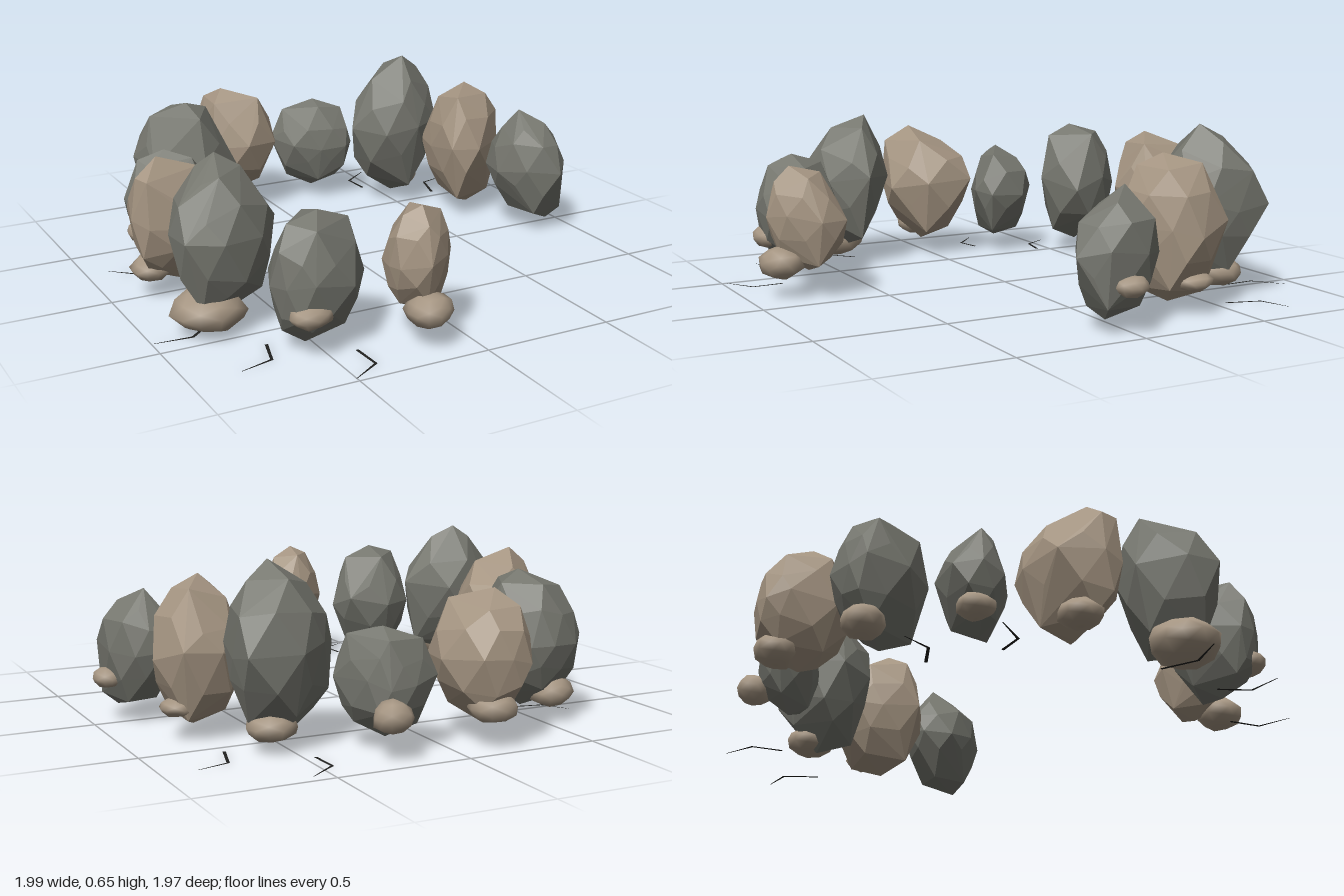
import * as THREE from 'three';
import { ConvexGeometry } from 'three/addons/geometries/ConvexGeometry.js';
import { mergeVertices } from 'three/addons/utils/BufferGeometryUtils.js';

// Small seeded generator for the irregular facets
function seeded(seed) {
  let s = seed * 7919 + 17;
  return () => (s = (s * 16807) % 2147483647) / 2147483647;
}

// Boulder: the ground outline shrinks along a line from the base point to the apex;
// top is the breadth of the crown
function boulderGeometry(apex, base, top, outline, seed) {
  const rnd = seeded(seed);
  const n = outline.length;
  const cx = outline.reduce((a, p) => a + p[0], 0) / n;
  const cz = outline.reduce((a, p) => a + p[1], 0) / n;
  const my = (apex[1] + base[1]) / 2, h = (apex[1] - base[1]) / 2;
  const pts = [new THREE.Vector3(...apex), new THREE.Vector3(...base)];
  // level, radius, half-step shift between neighbouring rings
  const rings = [[-0.77, 0.64, 0], [-0.4, 0.93, 1], [0.02, 1, 0], [0.42, 0.92, 1], [0.58 + 0.34 * top, top, 0]];
  rings.forEach(([t, r, shift], level) => {
    const tip = t > 0 ? apex : base, k = t * t * 0.7;
    const ox = cx + (tip[0] - cx) * k, oz = cz + (tip[2] - cz) * k;
    outline.forEach((p, i) => {
      if (level % 4 === 0 && i % 2) return;
      const q = outline[(i + 1) % n];
      const px = shift ? (p[0] + q[0]) / 2 : p[0], pz = shift ? (p[1] + q[1]) / 2 : p[1];
      const s = r === 1 ? 1 : r * (0.94 + 0.14 * rnd());
      const y = my + h * (t + (rnd() - 0.5) * 0.2);
      pts.push(new THREE.Vector3(ox + (px - cx) * s, y, oz + (pz - cz) * s));
    });
  });
  return new ConvexGeometry(pts);
}

// Pebble: a flattened, irregular ball with smooth shading
function pebbleGeometry(rx, ry, rz, seed) {
  const rnd = seeded(seed);
  let g = new THREE.IcosahedronGeometry(1, 1);
  g.deleteAttribute('normal');
  g.deleteAttribute('uv');
  g = mergeVertices(g, 1e-3);
  const p = g.attributes.position;
  for (let i = 0; i < p.count; i++) {
    const f = 0.92 + 0.18 * rnd();
    p.setXYZ(i, p.getX(i) * rx * f, p.getY(i) * ry * f, p.getZ(i) * rz * f);
  }
  g.computeVertexNormals();
  return g;
}

// Ground crack: a bent flat sliver tapering towards its tip
function crackGeometry(a, b, tip) {
  const A = new THREE.Vector2(...a), B = new THREE.Vector2(...b), T = new THREE.Vector2(...tip);
  const side = (p, q, w) => {
    const d = q.clone().sub(p).normalize();
    return new THREE.Vector2(-d.y * w, d.x * w);
  };
  const na = side(A, B, 0.006), nb = side(A, T, 0.006), nt = side(B, T, 0.0015);
  const shape = new THREE.Shape([
    A.clone().add(na), B.clone().add(nb), T.clone().add(nt),
    T.clone().sub(nt), B.clone().sub(nb), A.clone().sub(na),
  ]);
  return new THREE.ShapeGeometry(shape).rotateX(Math.PI / 2);
}

export function createModel() {
  const model = new THREE.Group();
  model.name = 'rockRing';
  const grey = new THREE.MeshStandardMaterial({ color: 0x76776f });
  grey.name = 'greyStone';
  const brown = new THREE.MeshStandardMaterial({ color: 0xa59582 });
  brown.name = 'brownStone';
  const black = new THREE.MeshStandardMaterial({ color: 0x20201e, side: THREE.DoubleSide });
  black.name = 'crackBlack';

  let seed = 1;
  const add = (geometry, material, name) => {
    const m = new THREE.Mesh(geometry, material);
    m.name = name;
    model.add(m);
    return m;
  };
  const boulder = (mat, apex, base, top, outline) =>
    add(boulderGeometry(apex, base, top, outline, seed++), mat, 'boulder');
  const pebble = (x, y, z, rx, ry, rz) =>
    add(pebbleGeometry(rx, ry, rz, seed++), brown, 'pebble').position.set(x, y, z);

  // Back boulders
  boulder(brown, [-0.21, 0.54, -0.8], [-0.15, 0.07, -0.82], 0.66,
    [[-0.26, -0.97], [-0.17, -0.99], [-0.06, -0.98], [0.02, -0.83], [-0.01, -0.68], [-0.16, -0.62], [-0.29, -0.71], [-0.3, -0.89]]);
  boulder(grey, [0.23, 0.44, -0.8], [0.21, 0.05, -0.78], 0.68,
    [[0.05, -0.86], [0.16, -0.91], [0.25, -0.9], [0.31, -0.84], [0.36, -0.68], [0.32, -0.65], [0.21, -0.67], [0.1, -0.72]]);
  boulder(grey, [-0.46, 0.56, -0.57], [-0.46, 0.05, -0.6], 0.7,
    [[-0.65, -0.7], [-0.6, -0.75], [-0.48, -0.79], [-0.4, -0.76], [-0.32, -0.66], [-0.27, -0.5], [-0.44, -0.42], [-0.62, -0.54]]);

  // Left-side boulders
  boulder(grey, [0.54, 0.655, -0.54], [0.52, 0.03, -0.6], 0.56,
    [[0.3, -0.55], [0.39, -0.68], [0.5, -0.76], [0.7, -0.75], [0.7, -0.61], [0.68, -0.48], [0.54, -0.39], [0.4, -0.42]]);
  boulder(brown, [0.69, 0.58, -0.27], [0.72, 0.04, -0.28], 0.6,
    [[0.58, -0.43], [0.68, -0.48], [0.82, -0.47], [0.88, -0.32], [0.83, -0.22], [0.68, -0.12], [0.57, -0.16], [0.56, -0.32]]);
  boulder(grey, [0.81, 0.5, -0.03], [0.88, 0.05, 0.09], 0.53,
    [[0.7, -0.1], [0.78, -0.15], [0.88, -0.13], [0.95, -0.04], [0.95, 0.11], [0.87, 0.2], [0.75, 0.13], [0.68, 0.02]]);

  // Right-side boulders
  boulder(grey, [-0.66, 0.46, -0.31], [-0.66, 0.06, -0.3], 0.62,
    [[-0.82, -0.34], [-0.76, -0.43], [-0.58, -0.44], [-0.5, -0.36], [-0.5, -0.21], [-0.58, -0.17], [-0.78, -0.25]]);
  boulder(brown, [-0.82, 0.55, 0.04], [-0.74, 0.06, 0.02], 0.7,
    [[-0.93, 0.06], [-0.89, -0.1], [-0.71, -0.16], [-0.57, -0.14], [-0.57, 0.06], [-0.69, 0.18], [-0.89, 0.14]]);
  boulder(grey, [-0.7, 0.62, 0.3], [-0.7, 0.07, 0.4], 0.46,
    [[-0.9, 0.51], [-0.91, 0.38], [-0.82, 0.22], [-0.64, 0.22], [-0.5, 0.36], [-0.61, 0.5], [-0.77, 0.55]]);

  // Front boulders
  boulder(grey, [-0.5, 0.5, 0.7], [-0.54, 0.02, 0.68], 0.64,
    [[-0.68, 0.7], [-0.62, 0.56], [-0.5, 0.51], [-0.34, 0.56], [-0.31, 0.68], [-0.42, 0.82], [-0.57, 0.83], [-0.65, 0.77]]);
  boulder(brown, [-0.17, 0.5, 0.83], [-0.14, 0.1, 0.77], 0.62,
    [[-0.28, 0.8], [-0.27, 0.73], [-0.14, 0.64], [-0.04, 0.65], [-0.01, 0.76], [-0.09, 0.87], [-0.18, 0.92], [-0.27, 0.86]]);

  // Pebbles around the outer foot of the ring
  pebble(-0.15, 0.14, -0.9, 0.09, 0.06, 0.08);
  pebble(0.25, 0.15, -0.91, 0.07, 0.06, 0.07);
  pebble(-0.54, 0.11, -0.68, 0.08, 0.06, 0.08);
  pebble(0.56, 0.09, -0.62, 0.09, 0.055, 0.09);
  pebble(0.8, 0.12, -0.34, 0.06, 0.035, 0.07);
  pebble(0.94, 0.17, 0.02, 0.055, 0.04, 0.065);
  pebble(-0.74, 0.13, -0.34, 0.07, 0.045, 0.07);
  pebble(-0.84, 0.11, 0.0, 0.08, 0.05, 0.08);
  pebble(-0.785, 0.09, 0.41, 0.135, 0.08, 0.125);
  pebble(-0.565, 0.16, 0.785, 0.08, 0.045, 0.055);
  pebble(-0.16, 0.135, 0.87, 0.085, 0.06, 0.085);

  // Cracks spreading over the ground
  const cracks = [
    [[0.46, -0.75], [0.455, -0.87], [0.565, -0.955]],
    [[0.71, -0.55], [0.75, -0.685], [0.87, -0.72]],
    [[-0.53, -0.45], [-0.645, -0.475], [-0.705, -0.575]],
    [[-0.71, -0.235], [-0.81, -0.215], [-0.91, -0.305]],
    [[-0.745, 0.335], [-0.85, 0.425], [-0.99, 0.415]],
    [[-0.65, 0.6], [-0.685, 0.72], [-0.81, 0.755]],
    [[-0.395, 0.785], [-0.39, 0.91], [-0.5, 0.98]],
  ];
  for (const c of cracks) add(crackGeometry(...c), black, 'groundCrack');
  return model;
}
